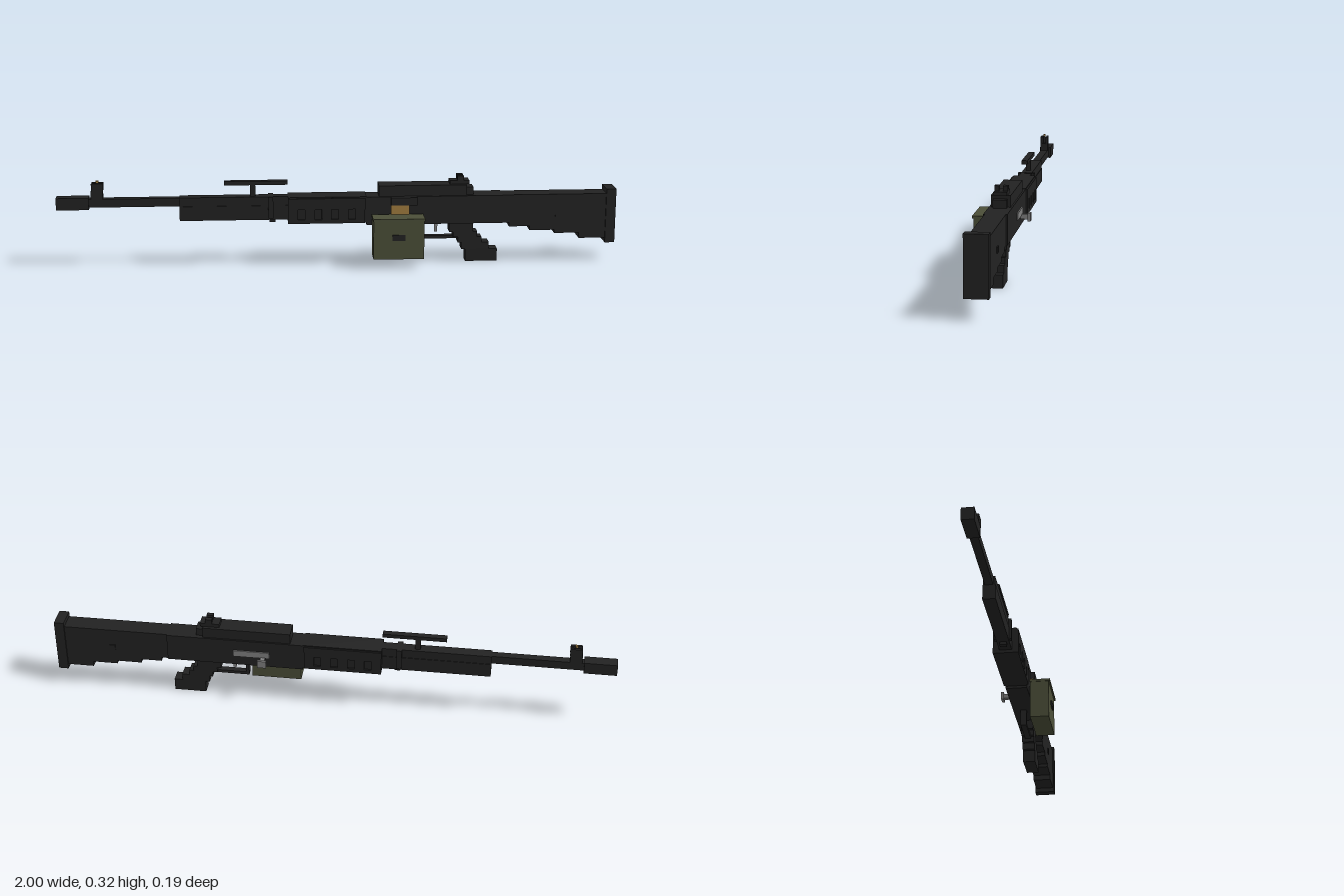
import * as THREE from 'three';

const paint = (name, color) => {
  const m = new THREE.MeshStandardMaterial({ color });
  m.name = name;
  return m;
};

export function createModel() {
  const root = new THREE.Group();
  root.name = 'blockMachineGun';
  const dark = paint('charcoal', 0x222222);
  const olive = paint('olive', 0x4b4e38);
  const brass = paint('brass', 0xa07c3e);
  const steel = paint('steel', 0x808080);

  // Box given by its lower and upper limit on each axis
  const block = (name, mat, x0, x1, y0, y1, z0, z1) => {
    const mesh = new THREE.Mesh(new THREE.BoxGeometry(x1 - x0, y1 - y0, z1 - z0), mat);
    mesh.position.set((x0 + x1) / 2, (y0 + y1) / 2, (z0 + z1) / 2);
    mesh.name = name;
    root.add(mesh);
  };
  // Box centred on the bore line, with half width w
  const C = -0.0225;
  const mid = (name, x0, x1, y0, y1, w, mat = dark) => block(name, mat, x0, x1, y0, y1, C - w, C + w);

  // Barrel and muzzle
  mid('muzzle', -1, -0.885, 0.21, 0.253, 0.021);
  mid('barrel', -0.885, -0.18, 0.217, 0.247, 0.014);

  // Front sight: base, two ears and a bead
  mid('frontSightBase', -0.877, -0.835, 0.247, 0.275, 0.014);
  for (const s of [-1, 1]) {
    const z = C + s * 0.011;
    block('frontSightEar', dark, -0.875, -0.833, 0.275, 0.303, z - 0.004, z + 0.004);
  }
  mid('frontSightPost', -0.858, -0.85, 0.275, 0.304, 0.004);
  mid('frontSightBead', -0.859, -0.849, 0.304, 0.311, 0.004, brass);

  // Gas tube and barrel shroud
  mid('gasTube', -0.565, -0.18, 0.165, 0.217, 0.022);
  mid('barrelShroud', -0.565, -0.18, 0.217, 0.249, 0.02);
  mid('shroudBand', -0.25, -0.232, 0.172, 0.25, 0.03);
  mid('slingLug', -0.245, -0.225, 0.154, 0.166, 0.012);

  // Carrying handle
  mid('handlePost', -0.314, -0.295, 0.247, 0.291, 0.009);
  mid('handleBar', -0.405, -0.18, 0.29, 0.304, 0.011);

  // Handguard with raised side ribs
  mid('handguard', -0.18, 0.1, 0.154, 0.249, 0.039);
  mid('handguardRail', -0.18, 0.095, 0.205, 0.245, 0.045);
  mid('handguardLowerRail', -0.18, 0.095, 0.154, 0.168, 0.045);
  for (let i = 0; i < 5; i++) {
    const x = -0.18 + i * 0.06;
    mid('handguardRib', x, x + 0.035, 0.165, 0.207, 0.045);
  }

  // Receiver, feed cover and rear sight
  mid('receiver', 0.1, 0.59, 0.145, 0.247, 0.039);
  mid('feedCover', 0.145, 0.46, 0.247, 0.286, 0.033);
  mid('coverLatch', 0.46, 0.485, 0.247, 0.275, 0.023);
  mid('rearSightBase', 0.4, 0.47, 0.286, 0.299, 0.022);
  for (const s of [-1, 1]) {
    const z = C + s * 0.0145;
    block('rearSightEar', dark, 0.427, 0.45, 0.299, 0.316, z - 0.008, z + 0.008);
  }

  // Ammunition box, belt and feed lip
  block('ammoBox', olive, 0.12, 0.3, 0.037, 0.178, 0.025, 0.093);
  block('ammoBoxLid', olive, 0.118, 0.302, 0.176, 0.185, 0.024, 0.098);
  block('ammoBoxClasp', dark, 0.187, 0.232, 0.106, 0.127, 0.092, 0.098);
  block('ammoBoxMount', dark, 0.16, 0.26, 0.15, 0.175, 0.015, 0.026);
  block('ammoBelt', brass, 0.187, 0.252, 0.18, 0.22, 0.014, 0.029);
  block('feedLip', dark, 0.187, 0.28, 0.219, 0.247, 0.014, 0.034);

  // Cocking handle and its slide on the back side
  block('cockingSlide', steel, 0.22, 0.35, 0.182, 0.206, -0.066, -0.06);
  block('cockingStem', steel, 0.235, 0.251, 0.168, 0.185, -0.088, -0.06);
  block('cockingKnob', steel, 0.227, 0.259, 0.162, 0.19, -0.097, -0.087);

  // Trigger and guard
  mid('trigger', 0.348, 0.359, 0.108, 0.146, 0.005, steel);
  mid('triggerGuard', 0.3, 0.44, 0.083, 0.094, 0.011);
  mid('triggerGuardFront', 0.3, 0.311, 0.083, 0.146, 0.011);

  // Pistol grip, raked back in steps
  const grip = [
    [0.4, 0.487, 0.11, 0.147], [0.415, 0.502, 0.09, 0.11], [0.432, 0.518, 0.07, 0.09],
    [0.445, 0.545, 0.045, 0.07], [0.46, 0.575, 0, 0.045],
  ];
  for (const [x0, x1, y0, y1] of grip) mid('pistolGrip', x0, x1, y0, y1, 0.0225);

  // Stock, deepening in steps towards the butt
  const stock = [[0.59, 0.615, 0.145], [0.615, 0.69, 0.13], [0.69, 0.78, 0.115],
    [0.78, 0.87, 0.103], [0.87, 0.967, 0.083]];
  for (const [x0, x1, y0] of stock) mid('stock', x0, x1, y0, 0.247, 0.034);
  mid('stockSlingPin', 0.782, 0.802, 0.165, 0.185, 0.038);
  mid('buttPlate', 0.965, 1, 0.066, 0.264, 0.039);
  return root;
}
